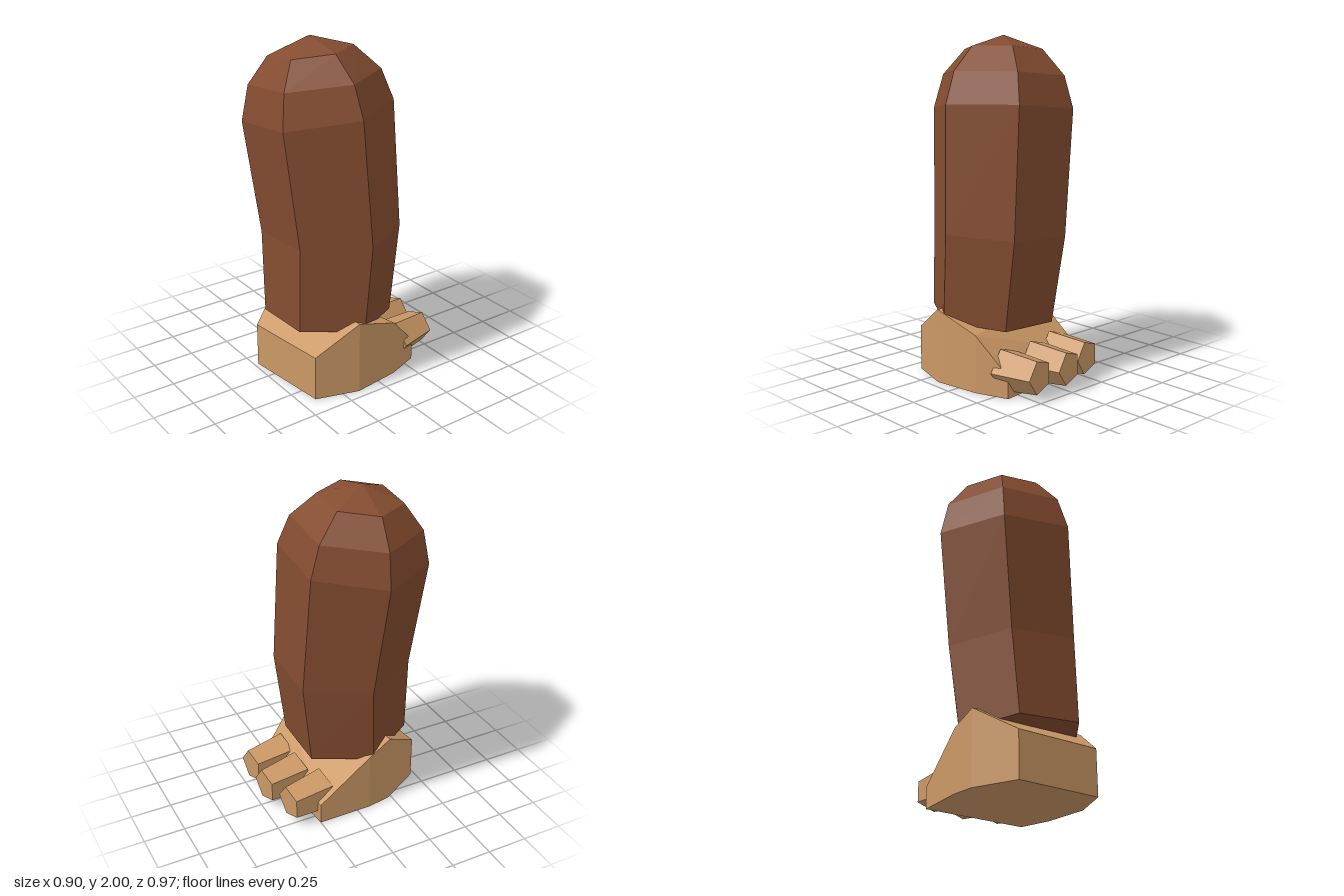
import * as THREE from 'three';

const brown = new THREE.MeshStandardMaterial({ name: 'brown', color: 0x844c30, flatShading: true });
const tan = new THREE.MeshStandardMaterial({ name: 'tan', color: 0xcb9866, flatShading: true });

function faceted(name, triangles, material) {
  const geometry = new THREE.BufferGeometry().setFromPoints(triangles);
  geometry.computeVertexNormals();
  const mesh = new THREE.Mesh(geometry, material);
  mesh.name = name;
  return mesh;
}

// Side wall between two matching rings
function wall(out, low, high) {
  low.forEach((a, i) => {
    const j = (i + 1) % low.length;
    out.push(a, high[i], low[j], low[j], high[i], high[j]);
  });
}

// Leaning six-sided leg with a domed top
function createLeg() {
  // centre x, y, z, radius, tilt along x, tilt along z
  const sections = [
    [0.063, 0.36, 0.11, 0.372, 0.04, 0.07],
    [0.042, 0.87, 0.07, 0.404, 0.06, 0.02],
    [-0.025, 1.578, 0.11, 0.427, 0.105, -0.08],
    [-0.04, 1.77, 0.12, 0.371, 0.095, -0.06],
    [-0.057, 1.918, 0.135, 0.238, 0.1, -0.07],
  ];
  const rings = sections.map(([x, y, z, r, sx, sz]) =>
    Array.from({ length: 6 }, (_, i) => {
      const dx = r * Math.cos(i * Math.PI / 3), dz = r * Math.sin(i * Math.PI / 3);
      return new THREE.Vector3(x + dx, y + dx * sx + dz * sz, z + dz);
    }));
  const tris = [];
  for (let i = 0; i < rings.length - 1; i++) wall(tris, rings[i], rings[i + 1]);
  const apex = new THREE.Vector3(-0.063, 2, 0.137);
  const base = new THREE.Vector3(0.063, 0.36, 0.11);
  for (let i = 0; i < 6; i++) {
    const j = (i + 1) % 6;
    tris.push(apex, rings[4][j], rings[4][i], base, rings[0][i], rings[0][j]);
  }
  return faceted('leg', tris, brown);
}

// Foot block: upright sides, top rising to a ridge then falling to the toes
function createFoot() {
  const outline = [
    [0.37, 0.27, 0.41], [-0.155, 0.27, 0.475], [-0.295, 0.44, 0.23], [-0.32, 0.37, 0.08],
    [-0.32, 0.13, -0.25], [0.335, 0.13, -0.325], [0.405, 0.34, -0.13], [0.445, 0.44, 0.155],
  ];
  const top = outline.map(p => new THREE.Vector3(...p));
  const bottom = top.map(p => new THREE.Vector3(p.x, 0, p.z));
  const tris = [];
  wall(tris, bottom, top);
  const right = [0, 7, 6, 5], left = [1, 2, 3, 4];
  for (let i = 0; i < 3; i++) {
    const [a, b, c, d] = [right[i], right[i + 1], left[i + 1], left[i]];
    tris.push(top[a], top[b], top[c], top[a], top[c], top[d]);
    tris.push(bottom[a], bottom[c], bottom[b], bottom[a], bottom[d], bottom[c]);
  }
  return faceted('foot', tris, tan);
}

// Tapered five-sided toe; x and z give the centre of its tip
function createToe(name, x, z) {
  const length = 0.25, yaw = 0.16;
  const geometry = new THREE.CylinderGeometry(0.127, 0.102, length, 5, 1, false, Math.PI / 2);
  geometry.rotateX(Math.PI / 2).translate(0, 0, length / 2).rotateY(yaw);
  const toe = new THREE.Mesh(geometry, tan);
  toe.name = name;
  toe.position.set(x, 0.139, z);
  return toe;
}

export function createModel() {
  const model = new THREE.Group();
  model.name = 'leg and foot';
  model.add(createLeg(), createFoot());
  model.add(
    createToe('rightToe', -0.22, -0.413),
    createToe('middleToe', -0.003, -0.474),
    createToe('leftToe', 0.222, -0.466),
  );
  return model;
}
